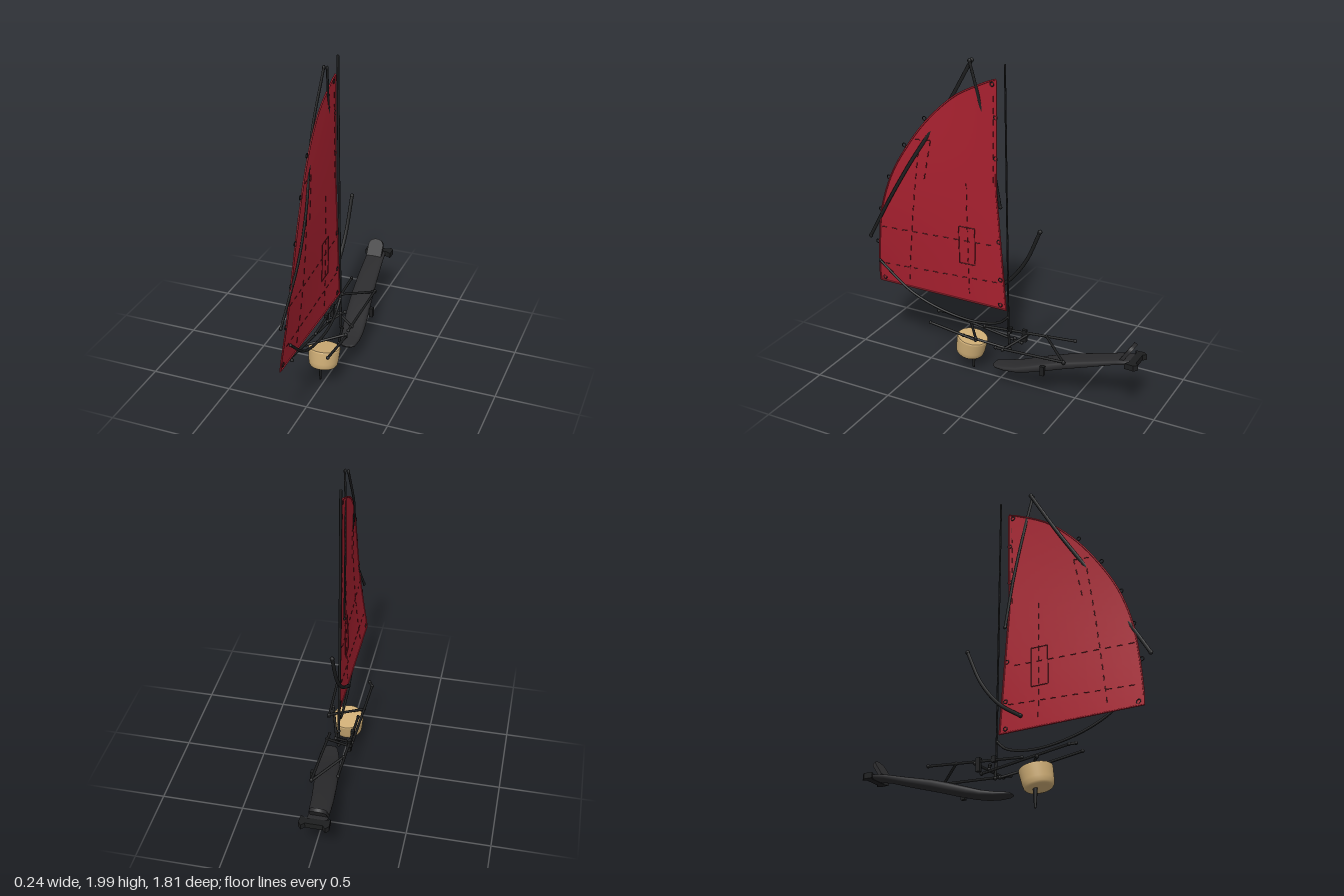
import * as THREE from 'three';

const V = (x, y, z) => new THREE.Vector3(x, y, z);
const mat = (name, color, side = THREE.FrontSide) => {
  const m = new THREE.MeshStandardMaterial({ color, side });
  m.name = name;
  return m;
};

// Sail outline: rear edge as [y, z], front edge as a bent line
const leech = new THREE.CatmullRomCurve3([
  [0.48, 0.852], [0.52, 0.853], [0.785, 0.825], [1.0, 0.79], [1.235, 0.71], [1.42, 0.605],
  [1.59, 0.48], [1.765, 0.295], [1.85, 0.14], [1.885, 0.065], [1.895, 0.035],
].map(([y, z]) => V(0, y, z)));
const luffZ = y => (y > 1.235 ? 0.03 : THREE.MathUtils.mapLinear(y, 0.48, 1.235, -0.034, 0.03));
// Belly of the sail
const sailX = (y, z) => 0.066 * Math.max(z, 0) * Math.sin(Math.PI * THREE.MathUtils.clamp((y - 0.48) / 1.41, 0, 1));
const onSail = (y, z) => V(sailX(y, z), y, z);

function sailGeometry(rows = 48, cols = 16) {
  const pos = [], idx = [];
  for (let i = 0; i <= rows; i++) {
    const p = leech.getPoint(i / rows);
    for (let j = 0; j <= cols; j++) {
      const z = THREE.MathUtils.lerp(luffZ(p.y), p.z, j / cols);
      pos.push(sailX(p.y, z), p.y, z);
      if (i < rows && j < cols) {
        const a = i * (cols + 1) + j, c = a + cols + 1;
        idx.push(a, c, a + 1, a + 1, c, c + 1);
      }
    }
  }
  const g = new THREE.BufferGeometry();
  g.setAttribute('position', new THREE.Float32BufferAttribute(pos, 3));
  g.setIndex(idx);
  g.computeVertexNormals();
  return g;
}

// Rounded hull skinned over stations [z, centreX, halfWidth, topY, bottomY]
function hullGeometry(stations, n = 24) {
  const pos = [], idx = [];
  const soft = (v, e) => Math.sign(v) * Math.abs(v) ** e;
  stations.forEach(([z, cx, w, top, bot], i) => {
    for (let j = 0; j < n; j++) {
      const a = (j / n) * Math.PI * 2;
      pos.push(cx + w * soft(Math.cos(a), 0.6), (top + bot) / 2 + (top - bot) / 2 * soft(Math.sin(a), 0.7), z);
      if (i < stations.length - 1) {
        const p = i * n + j, q = i * n + (j + 1) % n;
        idx.push(p, p + n, q, q, p + n, q + n);
      }
    }
  });
  const g = new THREE.BufferGeometry();
  g.setAttribute('position', new THREE.Float32BufferAttribute(pos, 3));
  g.setIndex(idx);
  g.computeVertexNormals();
  return g;
}

export function createModel() {
  const model = new THREE.Group();
  const red = mat('sail red', 0xa8202f, THREE.DoubleSide);
  const darkRed = mat('seam red', 0x5e141d);
  const black = mat('spar black', 0x1d1e1f);
  const grey = mat('board grey', 0x2b2b2d);
  const tan = mat('float tan', 0xcfae76);

  const add = (name, geo, material, parent = model) => {
    const m = new THREE.Mesh(geo, material);
    m.name = name;
    parent.add(m);
    return m;
  };
  const group = name => {
    const g = new THREE.Group();
    g.name = name;
    model.add(g);
    return g;
  };
  // Spar through points; "flat" scales its thickness across x
  const spar = (name, pts, r, { parent = model, material = black, flat = 1, knobs = 1.25 } = {}) => {
    const v = pts.map(p => (p.isVector3 ? p.clone() : V(...p)));
    v.forEach(p => { p.x /= flat; });
    const curve = new THREE.CatmullRomCurve3(v);
    add(name, new THREE.TubeGeometry(curve, pts.length > 2 ? 32 : 2, r, 8).scale(flat, 1, 1), material, parent);
    if (knobs) for (const p of [v[0], v[v.length - 1]])
      add(name + 'End', new THREE.SphereGeometry(r * knobs, 10, 8).translate(p.x, p.y, p.z).scale(flat, 1, 1), material, parent);
  };

  // Sail with hems
  const sail = group('sail');
  add('sailCloth', sailGeometry(), red, sail);
  const leechPts = leech.getPoints(20).map(p => onSail(p.y, p.z));
  const luffPts = [0.48, 0.8, 1.1, 1.235, 1.4, 1.89].map(y => onSail(y, luffZ(y)));
  const footPts = [-0.034, 0.3, 0.6, 0.852].map(z => onSail(0.48, z));
  for (const pts of [leechPts, luffPts, footPts]) spar('hem', pts, 0.005, { parent: sail, material: red, knobs: 1 });

  // Broken stitching lines, as [y, z] from and to
  const seams = [
    [1.4, 0.53, 0.5, 0.64], [1.48, 0.45, 1.2, 0.5], [1.25, 0.22, 0.5, 0.215], [0.87, 0.8, 0.885, 0.03],
    [0.61, 0.8, 0.65, -0.01], [1.8, 0.05, 1.25, 0.05], [1.47, 0.55, 1.48, 0.42],
  ];
  for (const [y0, z0, y1, z1] of seams) {
    const n = Math.round(Math.hypot(y1 - y0, z1 - z0) / 0.07);
    for (let i = 0; i < n; i++) {
      const at = t => onSail(y0 + (y1 - y0) * t, z0 + (z1 - z0) * t);
      spar('stitching', [at(i / n), at((i + 0.5) / n)], 0.003, { parent: sail, material: darkRed, knobs: 0 });
    }
  }
  // Pocket outline
  const pocket = [[0.73, 0.17], [0.97, 0.17], [0.97, 0.275], [0.73, 0.275]];
  pocket.forEach((p, i) => spar('pocketEdge', [onSail(...p), onSail(...pocket[(i + 1) % 4])], 0.003,
    { parent: sail, material: darkRed, knobs: 0 }));

  // Rings along both edges and at the three corners
  const rings = [
    [0.76, 0.84], [0.99, 0.797], [1.21, 0.73], [1.425, 0.623], [1.605, 0.49],
    [1.675, 0.035], [1.43, 0.035], [0.915, 0.015], [0.67, 0.005],
    [1.865, 0.058], [0.505, 0.82], [0.505, 0.005],
  ];
  for (const [y, z] of rings) {
    const ring = add('edgeRing', new THREE.TorusGeometry(0.012, 0.003, 6, 16), black, sail);
    ring.position.copy(onSail(y, z));
    ring.rotation.y = Math.PI / 2;
  }

  // Mast and long spars
  spar('mast', [[-0.006, 1.985, -0.021], [-0.004, 1, -0.039], [0, 0.32, -0.053]], 0.0045, { flat: 1.8, knobs: 1 });
  spar('sprit', [[-0.005, 1.985, 0.187], [-0.004, 1.67, 0.368], [0.048, 1.33, 0.575], [0.058, 1.1, 0.71],
    [0.045, 0.93, 0.81], [0.03, 0.785, 0.895]], 0.011, { flat: 0.6 });
  spar('topStrut', [[0.015, 1.985, 0.19], [0, 1.75, 0.135], [-0.012, 1.45, 0.07], [-0.02, 1.13, 0.015]], 0.01, { flat: 0.6 });
  spar('lowerBoom', [[0.05, 0.64, 0.82], [0.035, 0.47, 0.61], [0.02, 0.385, 0.4], [0.01, 0.355, 0.17],
    [0, 0.385, 0.01], [0, 0.435, -0.045]], 0.008);
  spar('upperBoom', [[-0.004, 1.035, -0.25], [-0.008, 0.82, -0.155], [-0.015, 0.66, -0.03], [-0.025, 0.555, 0.115]], 0.011);

  // Low frame of rails and braces
  const frame = group('frame');
  const bars = {
    leftRail: [[0.08, 0.28, -0.455], [0.07, 0.25, 0.0]],
    rightRail: [[-0.08, 0.34, -0.455], [-0.08, 0.285, 0.155]],
    rightFrontArm: [[-0.08, 0.235, -0.1], [-0.112, 0.295, 0.46]],
    rightArmHook: [[-0.112, 0.295, 0.46], [-0.09, 0.302, 0.49]],
    leftFrontArm: [[0.1, 0.285, 0.12], [0.108, 0.33, 0.43]],
    rearBrace: [[0.08, 0.275, -0.455], [-0.075, 0.325, -0.27]],
    frontBrace: [[-0.1, 0.265, 0.26], [0.1, 0.3, 0.12]],
    centreBrace: [[0.015, 0.23, -0.04], [0.09, 0.29, 0.21]],
    crossBar: [[-0.085, 0.3, -0.14], [0.075, 0.25, -0.05]],
    shortBar: [[-0.085, 0.25, -0.05], [0.01, 0.31, -0.1]],
    mastFoot: [[0, 0.33, -0.053], [0, 0.225, -0.06]],
  };
  for (const [name, pts] of Object.entries(bars)) spar(name, pts, 0.008, { parent: frame, knobs: 1.4 });
  for (const [x, y, z, h] of [[-0.08, 0.29, -0.12, 0.08], [0.103, 0.2, -0.33, 0.06], [-0.08, 0.305, -0.02, 0.035]])
    add('clamp', new THREE.BoxGeometry(0.022, h, 0.028).translate(x, y, z), black, frame);

  // Board with a turned-up tongue and a notched tail plate
  const board = group('board');
  add('boardHull', hullGeometry([
    [0.012, 0.06, 0.001, 0.141, 0.139], [0.008, 0.06, 0.03, 0.146, 0.132], [-0.015, 0.061, 0.047, 0.15, 0.128],
    [-0.075, 0.054, 0.06, 0.158, 0.126], [-0.15, 0.043, 0.069, 0.175, 0.131], [-0.23, 0.031, 0.072, 0.203, 0.147],
    [-0.34, 0.014, 0.072, 0.24, 0.178], [-0.445, -0.001, 0.07, 0.272, 0.212], [-0.6, -0.021, 0.066, 0.307, 0.258],
    [-0.76, -0.036, 0.061, 0.347, 0.31], [-0.85, -0.042, 0.056, 0.36, 0.33], [-0.87, -0.042, 0.001, 0.346, 0.344],
  ]), grey, board);
  const tongue = new THREE.Shape();
  tongue.moveTo(-0.05, 0).lineTo(0.05, 0).lineTo(0.05, 0.075)
    .quadraticCurveTo(0.045, 0.115, 0, 0.117).quadraticCurveTo(-0.045, 0.115, -0.05, 0.075);
  const tip = add('tailTongue', new THREE.ExtrudeGeometry(tongue, { depth: 0.022, bevelEnabled: false }), grey, board);
  tip.position.set(-0.044, 0.335, -0.79);
  tip.rotation.x = -0.58;
  const plate = new THREE.Shape([
    [-0.085, -0.035], [-0.06, -0.02], [0.06, -0.02], [0.085, -0.035], [0.088, 0.02], [0.07, 0.042],
    [0.05, 0.022], [-0.05, 0.022], [-0.07, 0.042], [-0.088, 0.02],
  ].map(p => new THREE.Vector2(...p)));
  add('tailPlate', new THREE.ExtrudeGeometry(plate, { depth: 0.035, bevelEnabled: false })
    .rotateX(-Math.PI / 2).translate(-0.032, 0.325, -0.857), black, board);

  // Tilted float with a rounded bottom edge, and the fin beneath it
  const profile = [[0, -0.062], [0.06, -0.062], [0.076, -0.058], [0.085, -0.047], [0.09, -0.02], [0.096, 0.05],
    [0.096, 0.056], [0.092, 0.06], [0.092, 0.06], [0, 0.06]].map(p => new THREE.Vector2(...p));
  const float = add('float', new THREE.LatheGeometry(profile, 36), tan);
  float.position.set(-0.006, 0.178, 0.21);
  float.rotation.x = -0.19;
  const fin = add('floatFin', new THREE.CylinderGeometry(0.015, 0.007, 0.12, 12), black);
  fin.position.set(-0.03, 0.065, 0.208);
  fin.scale.x = 0.75;

  return model;
}
